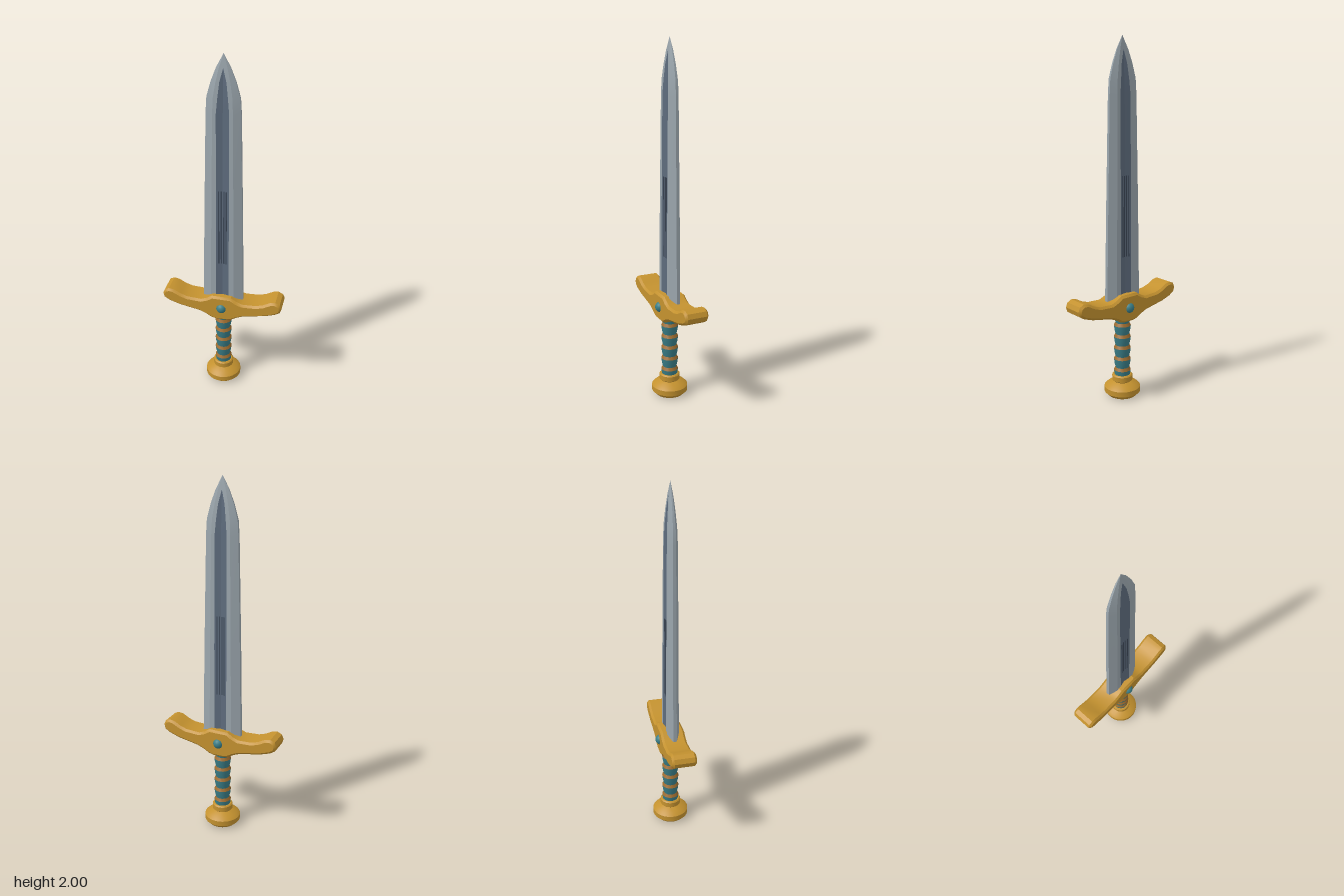
import * as THREE from 'three';
import { toCreasedNormals } from 'three/addons/utils/BufferGeometryUtils.js';

const material = (name, color, side = THREE.FrontSide) => {
  const m = new THREE.MeshStandardMaterial({ color, side });
  m.name = name;
  return m;
};

export function createModel() {
  const gold = material('gold', 0xc4922f);
  const bronze = material('bronze', 0x9c6b2e);
  const teal = material('teal', 0x3a7f89);
  const steel = material('steel', 0x9aa5ac, THREE.DoubleSide);
  const darkSteel = material('dark steel', 0x5d6b7c, THREE.DoubleSide);
  const slate = material('slate', 0x3c4756);

  const sword = new THREE.Group();
  sword.name = 'sword';
  const add = (name, geometry, mat, parent = sword) => {
    const mesh = new THREE.Mesh(geometry, mat);
    mesh.name = name;
    parent.add(mesh);
    return mesh;
  };
  const lathe = (points, segments = 24) => toCreasedNormals(
    new THREE.LatheGeometry(points.map(([r, y]) => new THREE.Vector2(r, y)), segments), 0.5);

  // Blade sections: height, half width, half thickness, half width of the fuller
  const sections = [
    [0.52, 0.116, 0.034, 0.036], [1.1, 0.105, 0.031, 0.036], [1.7, 0.091, 0.026, 0.034],
    [1.78, 0.086, 0.023, 0.027], [1.86, 0.064, 0.017, 0.018], [1.93, 0.037, 0.01, 0], [2, 0, 0, 0],
  ];
  // Corners of one quarter section, from cutting edge to fuller centre
  const corners = [
    ([, w, t]) => [w, 0],
    ([, w, t]) => [w, t * 0.3],
    ([, w, t, f]) => [Math.max(w * 0.58, f), t],
    ([, w, t, f]) => [f, t],
    ([, w, t, f]) => [0, f > 0 ? t * 0.75 : t],
  ];
  const bladeStrips = (from, to) => {
    const positions = [];
    for (const sx of [1, -1]) for (const sz of [1, -1]) {
      const point = (row, c) => {
        const [x, z] = corners[c](sections[row]);
        return [sx * x, sections[row][0], sz * z];
      };
      for (let c = from; c < to; c++) for (let r = 0; r < sections.length - 1; r++) {
        const a = point(r, c), b = point(r + 1, c), d = point(r, c + 1), e = point(r + 1, c + 1);
        // Mirrored quarters reverse their winding
        if (sx * sz > 0) positions.push(...a, ...b, ...d, ...d, ...b, ...e);
        else positions.push(...a, ...d, ...b, ...d, ...e, ...b);
      }
    }
    const geometry = new THREE.BufferGeometry();
    geometry.setAttribute('position', new THREE.Float32BufferAttribute(positions, 3));
    return toCreasedNormals(geometry, 0.3);
  };
  add('blade', bladeStrips(0, 3), steel);
  add('fuller', bladeStrips(3, 4), darkSteel);

  // Fine lines set along the lower fuller on both faces
  for (const s of [1, -1]) for (const x of [-0.021, -0.007, 0.007, 0.021]) {
    const line = add('fullerLine', new THREE.BoxGeometry(0.006, 0.45, 0.005), slate);
    line.position.set(x, 1.045, s * (0.0235 + 0.22 * Math.abs(x) - 0.001));
    line.rotation.x = -s * 0.005;
  }

  // Crossguard: bevelled extrusion of a mirrored outline with upturned tips
  const half = [
    [0.055, 0.612], [0.085, 0.592], [0.12, 0.578], [0.2, 0.582], [0.24, 0.595], [0.28, 0.617],
    [0.31, 0.622], [0.335, 0.61], [0.346, 0.585], [0.338, 0.558], [0.31, 0.54], [0.25, 0.52],
    [0.13, 0.497], [0.09, 0.48], [0.06, 0.462], [0.03, 0.455],
  ];
  const mirrored = half.map(([x, y]) => [-x, y]).reverse();
  const outline = new THREE.Shape([...half, ...mirrored].map(([x, y]) => new THREE.Vector2(x, y)));
  const bevel = 0.012;
  const guard = new THREE.ExtrudeGeometry(outline, {
    depth: 0.136 - 2 * bevel, bevelEnabled: true, bevelThickness: bevel,
    bevelSize: bevel, bevelOffset: -bevel, bevelSegments: 1,
  });
  guard.translate(0, 0, -0.068 + bevel);
  add('crossguard', toCreasedNormals(guard, 0.5), gold);

  // Round gems on the front and back of the guard
  for (const s of [1, -1]) {
    const gem = add('gem', new THREE.SphereGeometry(0.03, 16, 12), teal);
    gem.position.set(0, 0.535, s * 0.057);
  }

  // Grip: flaring wraps, each capped by a bronze upward slope
  const grip = new THREE.Group();
  grip.name = 'grip';
  sword.add(grip);
  const pitch = 0.067;
  for (let i = 0; i < 6; i++) {
    const y = 0.1 + i * pitch;
    add('gripWrap', lathe([[0.039, y], [0.045, y + 0.025], [0.048, y + 0.05]]), teal, grip);
    add('gripBand', lathe([[0.048, y + 0.05], [0.039, y + pitch]]), bronze, grip);
  }

  // Pommel: collar, neck and heavy bevelled disc
  add('pommel', lathe([
    [0, 0], [0.08, 0], [0.102, 0.022], [0.102, 0.052], [0.085, 0.068], [0.05, 0.083],
    [0.058, 0.09], [0.058, 0.118], [0.052, 0.124], [0, 0.124],
  ], 32), gold);

  return sword;
}
